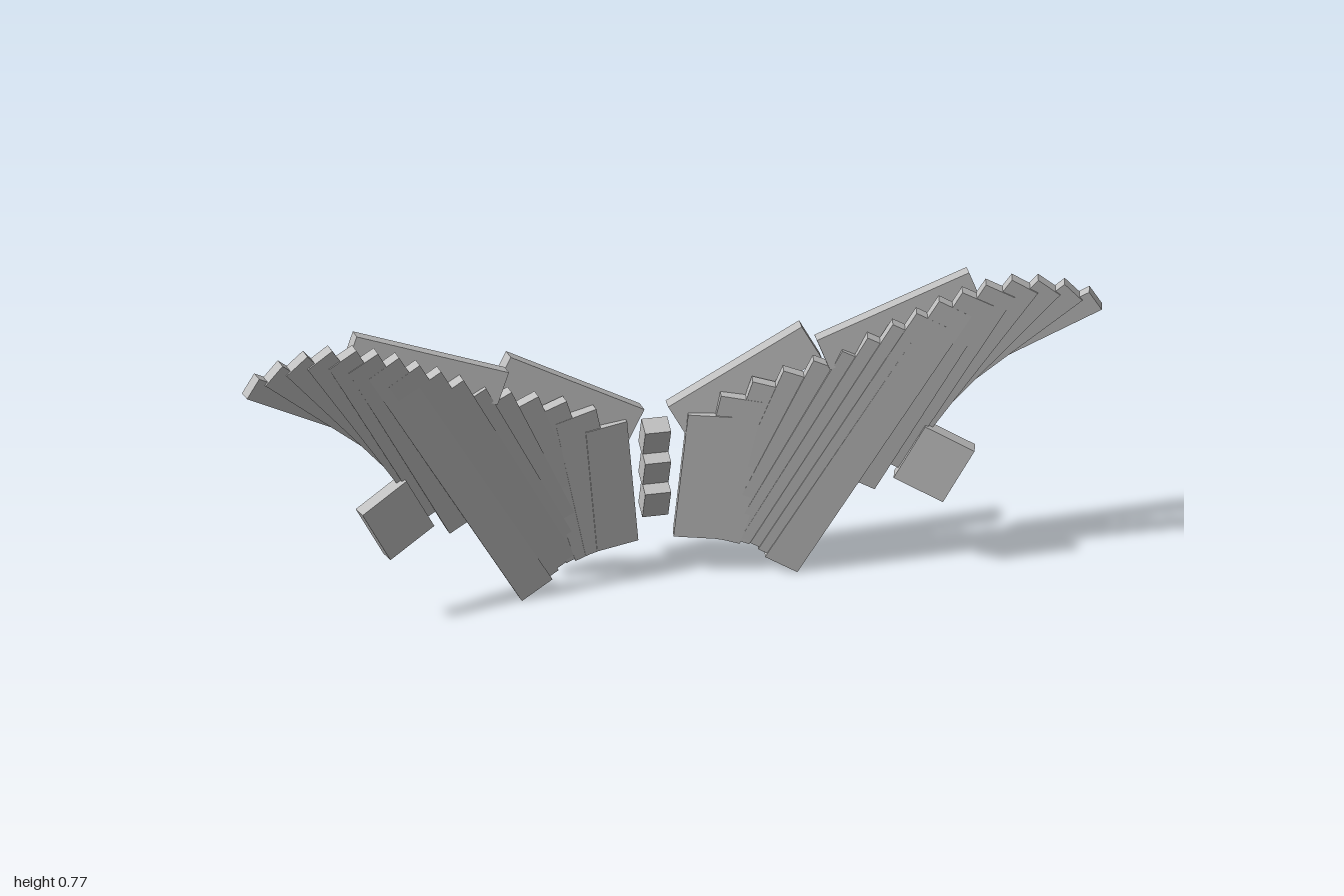
import * as THREE from 'three';

const V = (p) => new THREE.Vector3(...p);

// Box running from a to b, with its broad face turned towards facing
function plank(name, a, b, width, depth, facing, material) {
  const along = V(b).sub(V(a));
  const length = along.length();
  along.normalize();
  const side = along.clone().cross(V(facing)).normalize();
  const normal = side.clone().cross(along);
  const mesh = new THREE.Mesh(new THREE.BoxGeometry(width, length, depth), material);
  mesh.name = name;
  mesh.quaternion.setFromRotationMatrix(new THREE.Matrix4().makeBasis(side, along, normal));
  mesh.position.copy(V(a)).add(V(b)).multiplyScalar(0.5);
  return mesh;
}

// One feather per row, outermost first: base, tip, width
const feathers = [
  [[0.67, 0.51, 0.005], [0.98, 0.705, 0.105], 0.055],
  [[0.63, 0.45, 0.0], [0.93, 0.73, 0.1], 0.06],
  [[0.6, 0.4, -0.004], [0.875, 0.745, 0.093], 0.065],
  [[0.565, 0.34, -0.01], [0.82, 0.75, 0.086], 0.07],
  [[0.52, 0.28, -0.018], [0.765, 0.74, 0.077], 0.075],
  [[0.46, 0.23, -0.026], [0.715, 0.72, 0.067], 0.08],
  [[0.285, 0.025, -0.053], [0.665, 0.695, 0.056], 0.085],
  [[0.27, 0.045, -0.057], [0.615, 0.665, 0.046], 0.085],
  [[0.255, 0.06, -0.061], [0.565, 0.635, 0.034], 0.09],
  [[0.235, 0.075, -0.065], [0.51, 0.6, 0.02], 0.09],
  [[0.215, 0.085, -0.068], [0.455, 0.565, 0.005], 0.09],
  [[0.195, 0.09, -0.071], [0.395, 0.54, -0.012], 0.095],
  [[0.17, 0.095, -0.074], [0.33, 0.515, -0.028], 0.095],
  [[0.145, 0.095, -0.076], [0.265, 0.49, -0.041], 0.1],
  [[0.12, 0.1, -0.078], [0.195, 0.46, -0.052], 0.1],
  [[0.092, 0.102, -0.08], [0.122, 0.42, -0.062], 0.1],
];

export function createModel() {
  const model = new THREE.Group();
  model.name = 'wings';
  const grey = new THREE.MeshStandardMaterial({ color: 0xc0c0c0 });
  grey.name = 'grey';

  // Tilted blocks of the spine
  for (let i = 0; i < 3; i++) {
    const block = new THREE.Mesh(new THREE.BoxGeometry(0.06, 0.08, 0.045), grey);
    block.name = 'spineBlock';
    block.position.set(0, 0.206 + i * 0.078, -0.087);
    block.rotation.x = 0.4;
    model.add(block);
  }

  // Two mirrored wings
  for (const s of [1, -1]) {
    const wing = new THREE.Group();
    wing.name = s > 0 ? 'leftWing' : 'rightWing';
    const m = ([x, y, z]) => [x * s, y, z];
    const add = (name, a, b, width, depth, facing) =>
      wing.add(plank(name, m(a), m(b), width, depth, m(facing), grey));

    // Arm bones along the upper edge
    add('innerArm', [0.051, 0.4, -0.085], [0.361, 0.57, -0.085], 0.093, 0.04, [0, 0.14, 1]);
    add('outerArm', [0.372, 0.573, -0.014], [0.725, 0.706, -0.014], 0.08, 0.035, [0, 0.12, 1]);

    // Fan of feathers
    for (const [base, tip, width] of feathers) {
      add('feather', base, tip, width, 0.026, [-0.15, -0.05, 1]);
    }

    // Loose plate beside the wing
    add('sidePlate', [0.591, 0.214, 0.007], [0.66, 0.347, 0.027], 0.127, 0.034, [-0.27, -0.01, 1]);
    model.add(wing);
  }
  return model;
}
